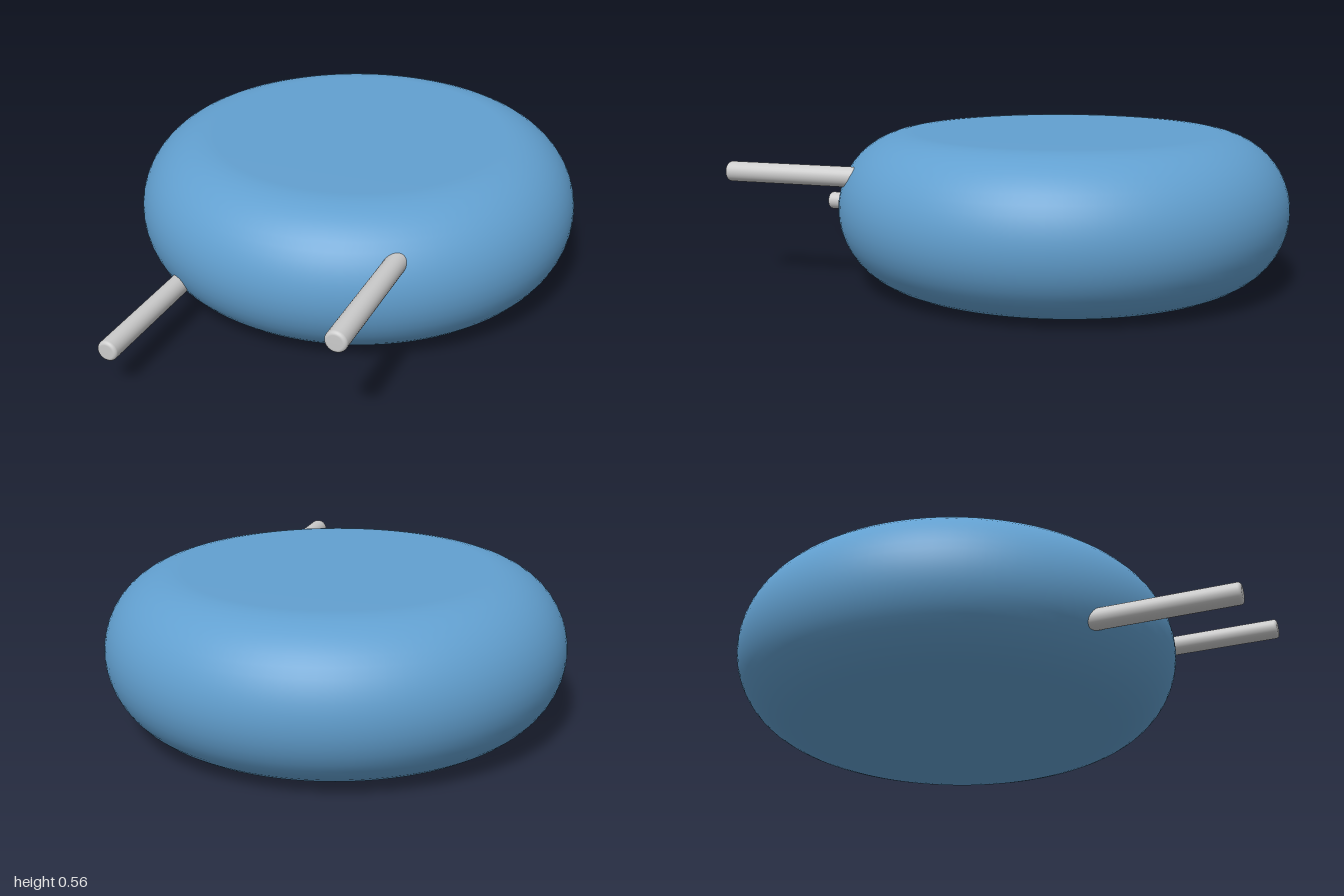
import * as THREE from 'three';

const RADIUS = 0.833, HEIGHT = 0.556, DISC_Z = -0.167;

// Adds an arc in the (radius, y) profile plane
function arc(points, cx, cy, r, from, to, steps) {
  for (let i = 0; i <= steps; i++) {
    const a = from + (to - from) * i / steps;
    points.push(new THREE.Vector2(cx + r * Math.cos(a), cy + r * Math.sin(a)));
  }
  return points;
}

export function createModel() {
  const model = new THREE.Group();
  model.name = 'discComponent';
  const blue = new THREE.MeshStandardMaterial({ color: 0x62a0d0 });
  const grey = new THREE.MeshStandardMaterial({ color: 0xcccccc });

  // Thick disc with flat faces and a fully rounded rim
  const edge = HEIGHT / 2;
  const profile = arc([new THREE.Vector2(0, 0)], RADIUS - edge, edge, edge, -Math.PI / 2, Math.PI / 2, 24);
  profile.push(new THREE.Vector2(0, HEIGHT));
  const body = new THREE.Mesh(new THREE.LatheGeometry(profile, 96), blue);
  body.name = 'discBody';
  body.position.z = DISC_Z;
  model.add(body);

  // Two wire leads at staggered heights, running forward out of the rim
  const r = 0.037, length = 0.65, bevel = 0.012;
  const leadProfile = [new THREE.Vector2(0, 0), new THREE.Vector2(r, 0)];
  arc(leadProfile, r - bevel, length - bevel, bevel, 0, Math.PI / 2, 5);
  leadProfile.push(new THREE.Vector2(0, length));
  const leadGeometry = new THREE.LatheGeometry(leadProfile, 28);
  leadGeometry.rotateX(Math.PI / 2);
  for (const [name, x, y] of [['leftLead', 0.405, 0.409], ['rightLead', -0.405, 0.159]]) {
    const lead = new THREE.Mesh(leadGeometry, grey);
    lead.name = name;
    lead.position.set(x, y, 1 - length);
    model.add(lead);
  }
  return model;
}
